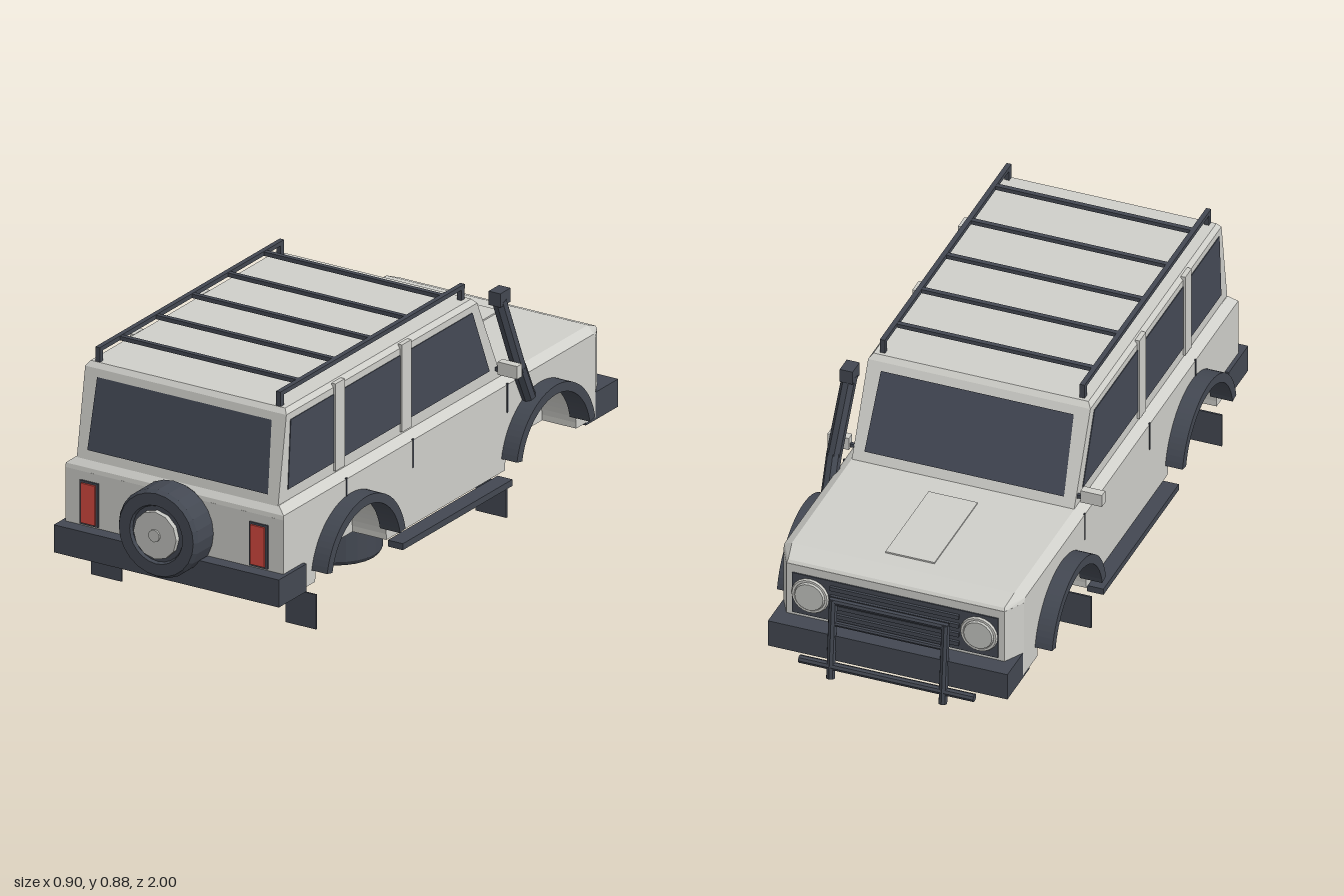
import * as THREE from 'three';
import { ConvexGeometry } from 'three/addons/geometries/ConvexGeometry.js';

const mat = (name, color, side = THREE.FrontSide) =>
  Object.assign(new THREE.MeshStandardMaterial({ color, flatShading: true, side }), { name });

export function createModel() {
  const root = new THREE.Group();
  const paint = mat('body paint', 0xcfcfca);
  const trim = mat('dark trim', 0x434852);
  const glass = mat('tinted glass', 0x444955, THREE.DoubleSide);
  const red = mat('tail light red', 0xd64a40);
  const metal = mat('light metal', 0xc2c3bf);

  const add = (name, geo, m, parent = root) => {
    const mesh = new THREE.Mesh(geo, m);
    mesh.name = name;
    parent.add(mesh);
    return mesh;
  };
  // box given by its min and max on each axis
  const box = (name, m, x0, x1, y0, y1, z0, z1, parent = root) => {
    const b = add(name, new THREE.BoxGeometry(x1 - x0, y1 - y0, z1 - z0), m, parent);
    b.position.set((x0 + x1) / 2, (y0 + y1) / 2, (z0 + z1) / 2);
    return b;
  };
  // same box on both sides
  const pair = (name, m, x0, x1, ...r) => {
    box(name + 'Left', m, x0, x1, ...r);
    box(name + 'Right', m, -x1, -x0, ...r);
  };
  // square bar between two points
  const bar = (name, m, a, b, w, sides = 4) => {
    const A = new THREE.Vector3(...a), B = new THREE.Vector3(...b);
    const g = new THREE.CylinderGeometry(w, w, A.distanceTo(B), sides);
    if (sides === 4) g.rotateY(Math.PI / 4);
    const mesh = add(name, g, m);
    mesh.position.copy(A).add(B).multiplyScalar(0.5);
    mesh.quaternion.setFromUnitVectors(new THREE.Vector3(0, 1, 0), B.sub(A).normalize());
    return mesh;
  };
  // convex solid from rings of [halfWidth, y, z], mirrored in x
  const hull = (name, m, pts) => add(name, new ConvexGeometry(pts.flatMap(([x, y, z]) =>
    [new THREE.Vector3(x, y, z), new THREE.Vector3(-x, y, z)])), m);
  // side-profile shape (drawn in -z, y) extruded along x, on both sides
  const sidePair = (name, m, shape, x0, x1) => [1, -1].forEach((s) => {
    const g = new THREE.ExtrudeGeometry(shape, { depth: x1 - x0, bevelEnabled: false, curveSegments: 16 });
    g.rotateY(Math.PI / 2).translate(s > 0 ? x0 : -x1, 0, 0);
    add(name + (s > 0 ? 'Left' : 'Right'), g, m);
  });
  const quad = (name, m, pts) => {
    const g = new THREE.BufferGeometry();
    g.setAttribute('position', new THREE.Float32BufferAttribute(pts.flat(), 3));
    g.setIndex([0, 1, 2, 0, 2, 3]);
    g.computeVertexNormals();
    return add(name, g, m);
  };

  // lower body: core, side panels with wheel cut-outs, nose, shoulder
  const arches = [0.51, -0.545], archY = 0.245;
  box('floorCore', paint, -0.27, 0.27, archY, 0.506, -0.8, 0.885);
  const side = new THREE.Shape();
  side.moveTo(-0.885, 0.506).lineTo(-0.885, archY);
  arches.forEach((z) => side.lineTo(-z - 0.198, archY).absarc(-z, archY, 0.198, Math.PI, 0, true));
  side.lineTo(0.8, archY).lineTo(0.8, 0.506);
  sidePair('sidePanel', paint, side, 0.268, 0.392);
  hull('nose', paint, [0.245, 0.506].flatMap((y) =>
    [[0.392, y, -0.79], [0.392, y, -0.85], [0.355, y, -0.917]]));
  hull('shoulder', paint, [
    [0.392, 0.505, 0.885], [0.392, 0.505, -0.85], [0.355, 0.505, -0.917],
    [0.392, 0.52, 0.883], [0.392, 0.52, -0.84], [0.352, 0.515, -0.91],
    [0.364, 0.542, 0.866], [0.362, 0.538, -0.855]]);
  box('hoodBulge', paint, -0.08, 0.08, 0.534, 0.543, -0.8, -0.45);

  // cabin with sloped ends
  const rearZ = (y) => 0.868 - 0.164 * (y - 0.54);
  const frontZ = (y) => -0.37 + 0.464 * (y - 0.54);
  hull('cabin', paint, [
    [0.362, 0.535, rearZ(0.535)], [0.362, 0.535, frontZ(0.535)],
    [0.362, 0.822, rearZ(0.822)], [0.362, 0.822, frontZ(0.822)],
    [0.35, 0.838, 0.81], [0.35, 0.838, -0.225]]);

  // windows
  quad('rearWindow', glass, [[-0.325, 0.57, rearZ(0.57) + 0.004], [0.325, 0.57, rearZ(0.57) + 0.004],
    [0.314, 0.798, rearZ(0.798) + 0.004], [-0.314, 0.798, rearZ(0.798) + 0.004]]);
  quad('windshield', glass, [[0.325, 0.57, frontZ(0.57) - 0.005], [-0.325, 0.57, frontZ(0.57) - 0.005],
    [-0.314, 0.8, frontZ(0.8) - 0.005], [0.314, 0.8, frontZ(0.8) - 0.005]]);
  const windows = [[0.815, 0.8, 0.56, 0.56], [0.51, 0.51, 0.19, 0.19], [0.14, 0.14, -0.21, -0.305]];
  windows.forEach(([rb, rt, ft, fb]) => {
    const s = new THREE.Shape([[-rb, 0.577], [-fb, 0.577], [-ft, 0.8], [-rt, 0.8]].map((p) => new THREE.Vector2(...p)));
    sidePair('sideWindow', glass, s, 0.36, 0.3645);
  });
  [0.535, 0.165].forEach((z) => pair('pillar', paint, 0.355, 0.37, 0.55, 0.835, z - 0.026, z + 0.026));

  // door seams
  [[0.535, 0.45], [0.165, 0.43], [-0.36, 0.43]].forEach(([z, y]) =>
    pair('doorSeam', trim, 0.39, 0.394, y, 0.525, z - 0.003, z + 0.003));

  // fender flares
  arches.forEach((z) => {
    const a = 0.2, s = new THREE.Shape();
    s.absarc(-z, archY, 0.222, a, Math.PI - a, false);
    s.absarc(-z, archY, 0.192, Math.PI - a, a, true);
    sidePair('fenderFlare', trim, s, 0.375, 0.448);
  });

  // bumpers, steps, mud flaps
  box('rearBumper', trim, -0.405, 0.405, 0.24, 0.33, 0.775, 0.93);
  box('frontBumper', trim, -0.39, 0.39, 0.235, 0.325, -0.98, -0.8);
  pair('sideStep', trim, 0.383, 0.437, 0.214, 0.235, -0.32, 0.29);
  [0.72, -0.337].forEach((z) => pair('mudFlap', trim, 0.295, 0.405, 0.097, 0.21, z - 0.003, z + 0.003));

  // front grille, headlights and bull bar
  box('grillePanel', trim, -0.335, 0.335, 0.335, 0.478, -0.921, -0.91);
  for (let i = 0; i < 4; i++)
    box('grilleSlat', trim, -0.21, 0.21, 0.352 + i * 0.032, 0.366 + i * 0.032, -0.93, -0.918);
  [-1, 1].forEach((s) => {
    const x = s * 0.275;
    const ring = add('headlightRing', new THREE.TorusGeometry(0.054, 0.007, 6, 20), paint);
    ring.position.set(x, 0.41, -0.924);
    const lens = add('headlight', new THREE.CylinderGeometry(0.046, 0.054, 0.018, 20).rotateX(-Math.PI / 2), metal);
    lens.position.set(x, 0.41, -0.926);
    bar('bullBarUpright', trim, [s * 0.183, 0.175, -0.988], [s * 0.183, 0.445, -0.965], 0.014, 8);
  });
  bar('bullBarTop', trim, [-0.193, 0.44, -0.965], [0.193, 0.44, -0.965], 0.012, 8);
  bar('bullBarMiddle', trim, [-0.183, 0.365, -0.972], [0.183, 0.365, -0.972], 0.009, 8);
  bar('bullBarBottom', trim, [-0.285, 0.217, -0.985], [0.285, 0.217, -0.985], 0.013, 8);

  // tail lights
  pair('tailLightFrame', trim, 0.272, 0.338, 0.335, 0.478, 0.88, 0.89);
  pair('tailLight', red, 0.28, 0.33, 0.342, 0.471, 0.885, 0.896);

  // roof rack
  pair('rackRail', trim, 0.317, 0.333, 0.872, 0.886, -0.215, 0.81);
  [0.8, -0.205].forEach((z) => pair('rackPost', trim, 0.317, 0.333, 0.832, 0.88, z - 0.009, z + 0.009));
  for (let i = 0; i < 5; i++) {
    const z = -0.11 + i * 0.2;
    box('rackCrossbar', trim, -0.325, 0.325, 0.872, 0.885, z - 0.008, z + 0.008);
  }

  // mirrors
  pair('mirror', paint, 0.377, 0.447, 0.56, 0.602, -0.357, -0.33);
  pair('mirrorArm', trim, 0.355, 0.38, 0.566, 0.578, -0.349, -0.338);

  // snorkel on the left side
  box('snorkelHead', trim, 0.367, 0.409, 0.798, 0.843, -0.352, -0.295);
  bar('snorkelUpper', trim, [0.388, 0.81, -0.32], [0.408, 0.56, -0.402], 0.024, 8);
  bar('snorkelLower', trim, [0.408, 0.57, -0.398], [0.402, 0.45, -0.462], 0.024, 8);

  // tyre lying around the y axis, centred on its origin
  const tyre = (w, parent) => {
    const h = w / 2;
    const p = [[0, -h + 0.01], [0.09, -h + 0.01], [0.095, -h], [0.134, -h], [0.143, -h + 0.014],
      [0.143, h - 0.014], [0.134, h], [0.095, h], [0.09, h - 0.01], [0, h - 0.01]];
    add('tyre', new THREE.LatheGeometry(p.map((q) => new THREE.Vector2(...q)), 24), trim, parent);
  };

  // wheel under the floor
  const wheel = new THREE.Group();
  wheel.name = 'wheel';
  wheel.position.set(0, 0.091, -0.013);
  root.add(wheel);
  tyre(0.148, wheel);
  [-1, 1].forEach((s) => {
    const rim = add('rimRing', new THREE.TorusGeometry(0.082, 0.008, 6, 24).rotateX(Math.PI / 2), metal, wheel);
    rim.position.y = s * 0.07;
    const hub = add('hub', new THREE.CylinderGeometry(0.024, 0.024, 0.022, 12), metal, wheel);
    hub.position.y = s * 0.076;
    for (let i = 0; i < 6; i++) {
      const spoke = add('spoke', new THREE.BoxGeometry(0.066, 0.018, 0.022).translate(0.046, 0, 0), metal, wheel);
      spoke.position.y = s * 0.073;
      spoke.rotation.y = i * Math.PI / 3;
    }
  });

  // spare wheel on the tailgate
  const spare = new THREE.Group();
  spare.name = 'spareWheel';
  spare.position.set(0, 0.407, 0.931);
  spare.rotation.x = Math.PI / 2;
  root.add(spare);
  tyre(0.112, spare);
  add('spareCover', new THREE.CylinderGeometry(0.077, 0.077, 0.02, 12), metal, spare).position.y = 0.053;
  add('spareHub', new THREE.CylinderGeometry(0.02, 0.02, 0.01, 12), metal, spare).position.y = 0.064;
  return root;
}
